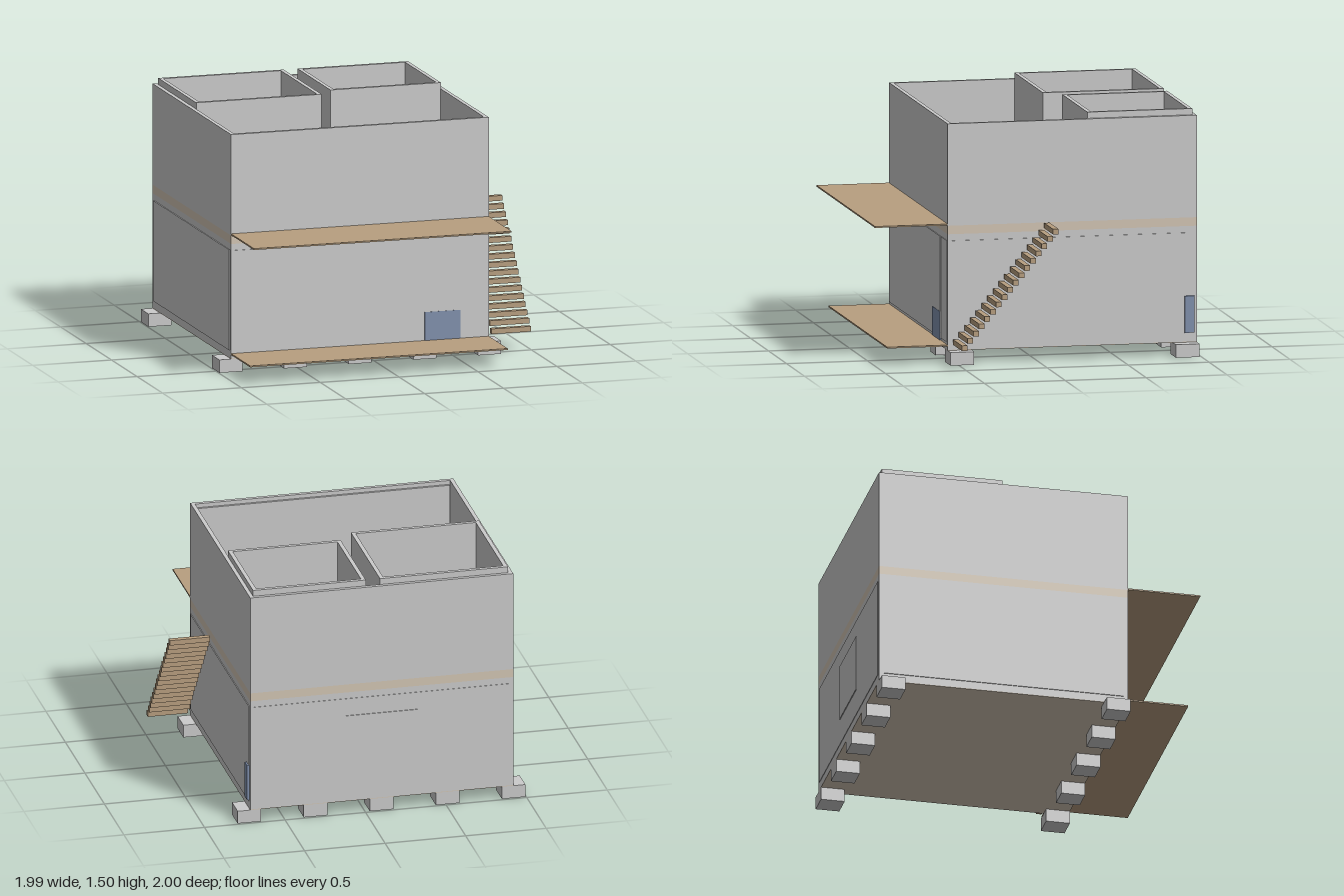
import * as THREE from 'three';

const mat = (color) => new THREE.MeshStandardMaterial({ color, flatShading: true });

export function createModel() {
  const house = new THREE.Group();
  house.name = 'house';
  const grey = mat(0xcccccc), wood = mat(0xb89f80), tan = mat(0xd3c6b4);
  const blue = mat(0x8090ad), darkGrey = mat(0x9a9a9a);

  // Box given by its lower and upper limits on each axis
  const box = (name, [x0, x1], [y0, y1], [z0, z1], material = grey, parent = house) => {
    const mesh = new THREE.Mesh(new THREE.BoxGeometry(x1 - x0, y1 - y0, z1 - z0), material);
    mesh.position.set((x0 + x1) / 2, (y0 + y1) / 2, (z0 + z1) / 2);
    mesh.name = name;
    parent.add(mesh);
    return mesh;
  };

  // Open rectangular ring of walls, extruded upwards
  const walls = (name, [x0, x1], [y0, y1], [z0, z1], t, material = grey) => {
    const rect = (Type, d) => new Type([
      new THREE.Vector2(x0 + d, -z1 + d), new THREE.Vector2(x1 - d, -z1 + d),
      new THREE.Vector2(x1 - d, -z0 - d), new THREE.Vector2(x0 + d, -z0 - d),
    ]);
    const shape = rect(THREE.Shape, 0);
    shape.holes.push(rect(THREE.Path, t));
    const geo = new THREE.ExtrudeGeometry(shape, { depth: y1 - y0, bevelEnabled: false });
    geo.rotateX(-Math.PI / 2);
    const mesh = new THREE.Mesh(geo, material);
    mesh.position.y = y0;
    mesh.name = name;
    house.add(mesh);
  };

  const X = [-0.92, 0.713], Z = [-0.988, 0.552];

  // Footings in two rows of five
  const footings = new THREE.Group();
  footings.name = 'footings';
  house.add(footings);
  for (let i = 0; i < 5; i++) {
    const x = -0.922 + i * 0.41;
    for (const z of [[-0.988, -0.842], [0.405, 0.552]])
      box('footing', [x - 0.073, x + 0.073], [0, 0.08], z, grey, footings);
  }

  // Ground storey, floor slabs and upper storey
  box('groundFloor', [X[0] + 0.02, X[1] - 0.02], [0.081, 0.11], [Z[0] + 0.02, Z[1] - 0.02], tan);
  box('groundFloorUnderside', X, [0.08, 0.084], Z, tan);
  walls('lowerWalls', X, [0.084, 0.79], Z, 0.025);
  box('upperFloor', X, [0.79, 0.842], Z, tan);
  walls('upperWalls', X, [0.842, 1.465], Z, 0.025);
  box('frontWallLining', [-0.89, 0.69], [0.87, 1.44], [0.512, 0.53]);

  // Two upstairs rooms rising a little above the outer walls
  walls('leftRoomWalls', [-0.893, -0.098], [0.842, 1.503], [-0.965, -0.217], 0.025);
  walls('rightRoomWalls', [-0.01, 0.69], [0.842, 1.503], [-0.965, -0.317], 0.025);
  box('rearFloorPanel', [-0.23, 0.02], [0.84, 0.847], [-0.94, -0.54], darkGrey);
  box('frontFloorPanel', [-0.23, 0.02], [0.84, 0.847], [-0.52, -0.25], darkGrey);

  // Thin cladding on the ground storey
  const py = [0.13, 0.75];
  box('leftCladding', [-0.926, -0.91], py, [-0.965, 0.525]);
  box('rightCladding', [0.70, 0.718], py, [-0.965, 0.525]);
  box('frontCladding', [-0.9, 0.53], py, [0.54, 0.557]);
  box('frontDoorPanel', [0.54, 0.69], py, [0.54, 0.555]);
  box('rearCladding', [-0.895, 0.69], py, [-0.991, -0.97]);
  box('rearPanel', [-0.325, 0.12], [0.29, 0.64], [-0.996, -0.98]);

  // Windows
  box('frontWindow', [0.305, 0.53], [0.115, 0.29], [0.54, 0.559], blue);
  box('sideWindow', [0.70, 0.729], [0.14, 0.365], [-0.97, -0.91], blue);

  // Porch deck and balcony
  box('porchDeck', X, [0.105, 0.114], [0.55, 0.925], wood);
  box('balcony', X, [0.844, 0.853], [0.55, 1.0], wood);

  // Open outside stair
  const stair = new THREE.Group();
  stair.name = 'outsideStair';
  house.add(stair);
  for (let i = 0; i < 17; i++) {
    const y = 0.135 + i * 0.0433, z = 0.508 - i * 0.0352;
    box('step', [0.74, 0.99], [y - 0.016, y + 0.016], [z - 0.017, z + 0.017], wood, stair);
  }
  return house;
}
